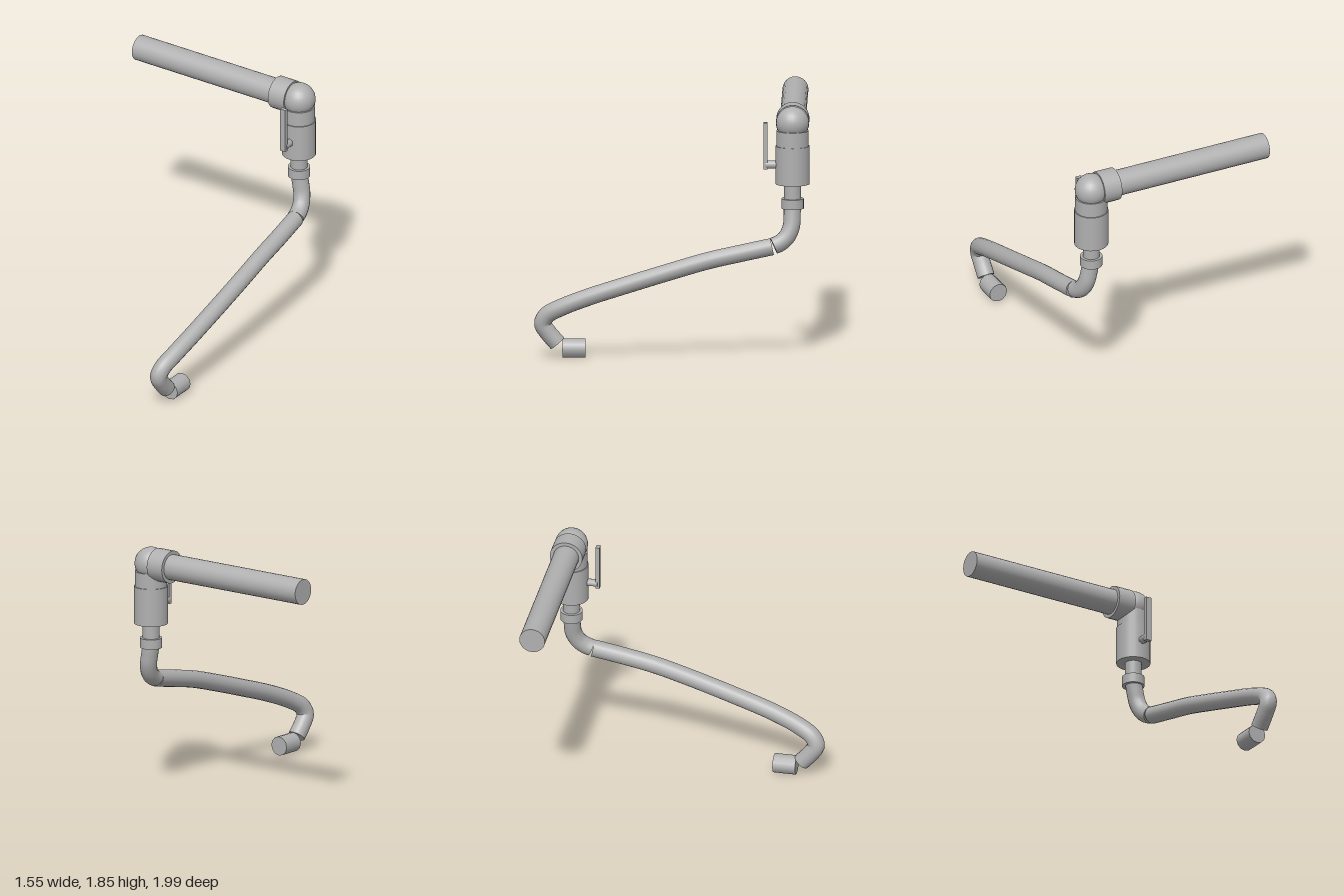
import * as THREE from 'three';

export function createModel() {
  const model = new THREE.Group();
  const grey = new THREE.MeshStandardMaterial({ color: 0xb0b0b0 });
  grey.name = 'plain grey';

  const X = 0.622, Z = -0.875, PIPE_Y = 1.725;

  function add(name, geometry, x = 0, y = 0, z = 0) {
    const mesh = new THREE.Mesh(geometry, grey);
    mesh.name = name;
    mesh.position.set(x, y, z);
    model.add(mesh);
    return mesh;
  }

  // Solid cylinders between two coordinates along one axis
  function upright(name, r, y0, y1) {
    return add(name, new THREE.CylinderGeometry(r, r, y1 - y0, 24), X, (y0 + y1) / 2, Z);
  }
  function across(name, r, x0, x1) {
    const g = new THREE.CylinderGeometry(r, r, x1 - x0, 24).rotateZ(Math.PI / 2);
    return add(name, g, (x0 + x1) / 2, PIPE_Y, Z);
  }
  function forward(name, r, y, z0, z1, sides) {
    const g = new THREE.CylinderGeometry(r, r, z1 - z0, sides).rotateX(Math.PI / 2);
    return add(name, g, X, y, (z0 + z1) / 2);
  }

  // Hose section with a flat disc closing each end
  function hose(name, points, r, steps) {
    const curve = new THREE.CatmullRomCurve3(points.map(p => new THREE.Vector3(...p)));
    add(name, new THREE.TubeGeometry(curve, steps, r, 16));
    for (const t of [0, 1]) {
      const cap = add(name + 'End', new THREE.CircleGeometry(r, 16));
      const out = curve.getTangent(t).multiplyScalar(t ? 1 : -1);
      cap.position.copy(curve.getPoint(t));
      cap.quaternion.setFromUnitVectors(new THREE.Vector3(0, 0, 1), out);
    }
  }

  // Horizontal supply pipe and elbow
  across('supplyPipe', 0.094, -0.775, 0.46);
  across('pipeCollar', 0.12, 0.43, 0.568);
  add('elbow', new THREE.SphereGeometry(0.12, 24, 16), X, PIPE_Y, Z);
  upright('elbowNeck', 0.117, 1.54, 1.67);

  // Valve body, outlet and nut
  upright('valveBody', 0.124, 1.28, 1.558);
  upright('outletPipe', 0.061, 1.12, 1.3);
  upright('hoseNut', 0.081, 1.1, 1.172);

  // Lever handle on the front of the valve
  forward('leverStem', 0.03, 1.42, -0.78, -0.68, 6);
  add('lever', new THREE.BoxGeometry(0.046, 0.34, 0.03), X, 1.557, -0.679);

  // Short bent hose under the nut
  hose('upperHose', [
    [0.622, 1.13, -0.872], [0.636, 1.05, -0.872], [0.652, 0.97, -0.866],
    [0.668, 0.9, -0.835], [0.68, 0.855, -0.785], [0.686, 0.835, -0.74],
  ], 0.062, 32);

  // Long sagging hose with a hooked end
  hose('lowerHose', [
    [0.69, 0.83, -0.728], [0.703, 0.782, -0.5], [0.709, 0.73, -0.27],
    [0.709, 0.65, 0], [0.701, 0.555, 0.3], [0.686, 0.455, 0.6],
    [0.662, 0.373, 0.8], [0.638, 0.313, 0.9], [0.624, 0.25, 0.93],
    [0.62, 0.187, 0.893], [0.62, 0.105, 0.823],
  ], 0.063, 90);

  // Nozzle at the free end
  forward('nozzle', 0.07, 0.07, 0.62, 0.787, 12);

  return model;
}
